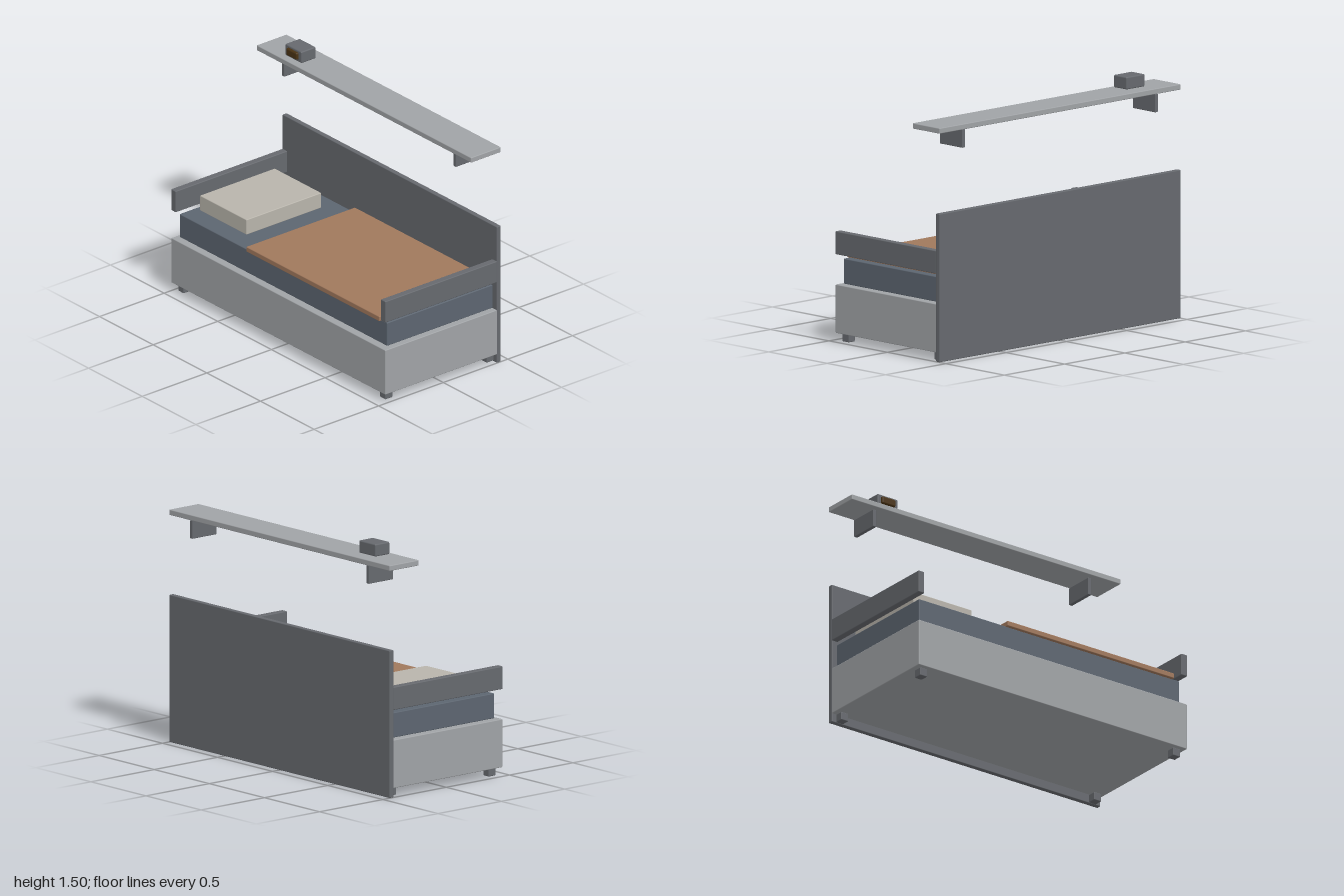
import * as THREE from 'three';
import { RoundedBoxGeometry } from 'three/addons/geometries/RoundedBoxGeometry.js';

const material = (color) => new THREE.MeshStandardMaterial({ color });

export function createModel() {
  const model = new THREE.Group();
  model.name = 'daybedWithShelf';

  const light = material(0xa0a3a6);
  const dark = material(0x66696e);
  const mattressBlue = material(0x5c6570);
  const blanketBrown = material(0xa0785c);
  const pillowCream = material(0xb8b4ab);
  const screenAmber = material(0x4a3314);

  // Box with softened edges, given by its extents on each axis
  function box(name, mat, [x0, x1], [y0, y1], [z0, z1], radius = 0.005) {
    const geometry = new RoundedBoxGeometry(x1 - x0, y1 - y0, z1 - z0, 2, radius);
    const mesh = new THREE.Mesh(geometry, mat);
    mesh.name = name;
    mesh.position.set((x0 + x1) / 2, (y0 + y1) / 2, (z0 + z1) / 2);
    model.add(mesh);
    return mesh;
  }

  // Bed frame
  box('bedBase', light, [-0.998, 0.998], [0.055, 0.35], [-0.442, 0.447]);
  box('backPanel', dark, [-1, 1], [0, 0.9], [-0.447, -0.415]);

  // Bedding
  box('mattress', mattressBlue, [-0.968, 0.968], [0.355, 0.508], [-0.41, 0.408]);
  box('pillow', pillowCream, [-0.92, -0.485], [0.512, 0.612], [-0.29, 0.29]);
  box('blanket', blanketBrown, [-0.323, 0.918], [0.505, 0.538], [-0.415, 0.428]);

  // Mirrored armrests, feet and shelf brackets
  for (const [side, s] of [['left', 1], ['right', -1]]) {
    const span = (a, b) => (s > 0 ? [a, b] : [-b, -a]);
    box(side + 'Armrest', dark, span(0.956, 1), [0.533, 0.673], [-0.418, 0.447]);
    box(side + 'FrontFoot', dark, span(0.915, 0.967), [0.004, 0.056], [0.364, 0.42]);
    box(side + 'BackFoot', dark, span(0.915, 0.967), [0.004, 0.056], [-0.42, -0.364]);
    box(side + 'ShelfBracket', dark, span(0.788, 0.812), [1.276, 1.388], [-0.447, -0.254], 0.004);
  }

  // Wall shelf with a small clock
  box('shelf', light, [-1, 1], [1.386, 1.42], [-0.447, -0.215]);
  box('clockBody', dark, [-0.78, -0.628], [1.424, 1.5], [-0.367, -0.254], 0.008);
  box('clockScreen', screenAmber, [-0.756, -0.655], [1.439, 1.486], [-0.27, -0.238], 0.01);

  return model;
}
